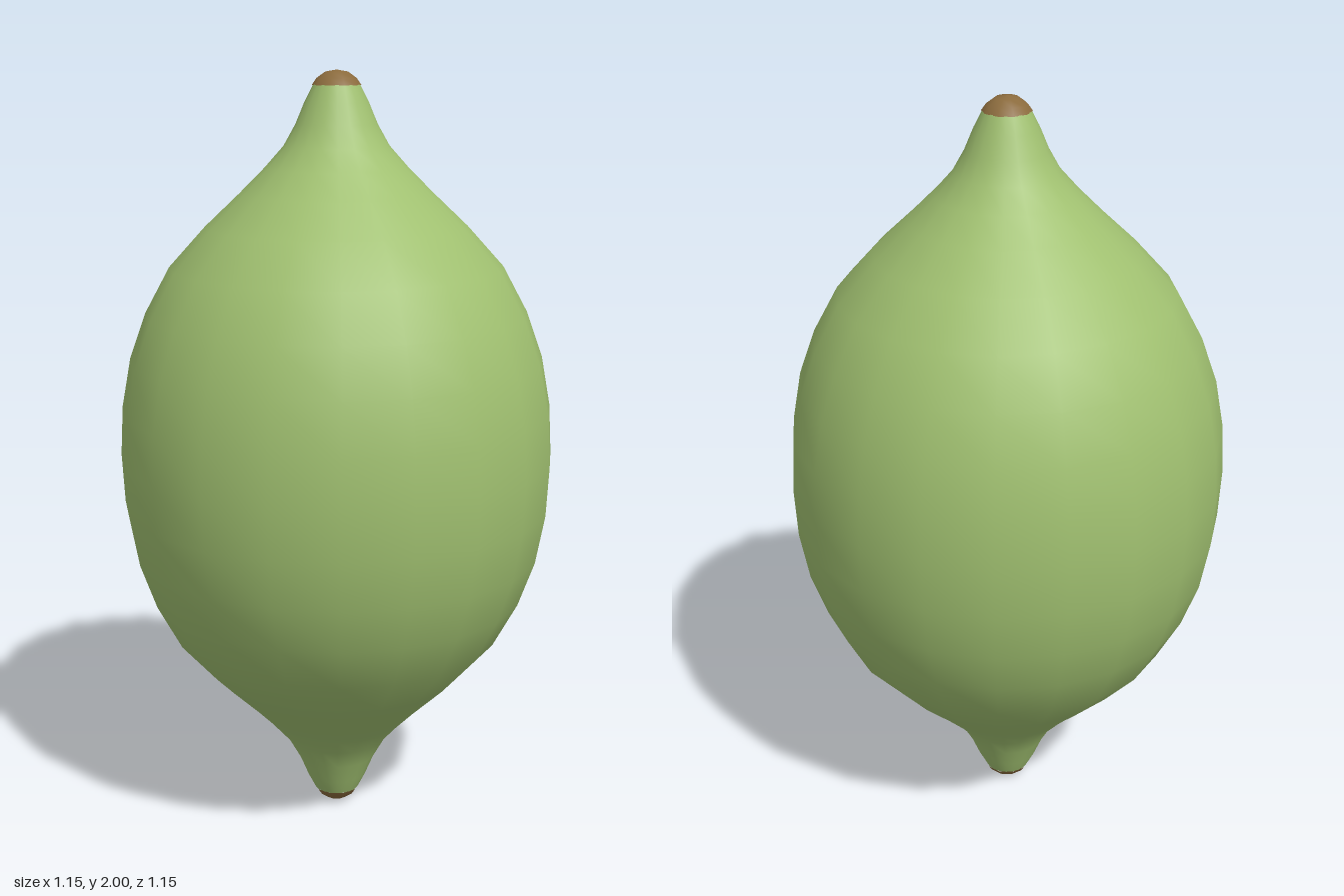
import * as THREE from 'three';

// Upper half of the fruit's outline: radius, height above the middle
const HALF = [
  [0.574, 0], [0.567, 0.13], [0.543, 0.26], [0.5, 0.38], [0.435, 0.5],
  [0.34, 0.605], [0.25, 0.69], [0.185, 0.755], [0.136, 0.81], [0.105, 0.865],
  [0.082, 0.92], [0.06, 0.963],
];
const TIP = [[0.063, 0.962], [0.051, 0.979], [0.029, 0.995], [0, 1]];

const toPoints = (list) => list.map(([r, y]) => new THREE.Vector2(r, y));

export function createModel() {
  const group = new THREE.Group();
  group.name = 'citrusFruit';
  const peel = new THREE.MeshStandardMaterial({ color: 0xa0c070 });
  const stemBrown = new THREE.MeshStandardMaterial({ color: 0x8b6b3d });

  // Fruit body with a nipple at both ends: the half outline mirrored about the middle
  const lower = HALF.slice(1).reverse().map(([r, y]) => [r, -y]);
  const body = new THREE.Mesh(new THREE.LatheGeometry(toPoints([...lower, ...HALF]), 20), peel);
  body.name = 'fruitBody';
  body.position.y = 1;
  group.add(body);

  // Ten-sided brown caps closing both ends
  const capGeometry = new THREE.LatheGeometry(toPoints(TIP), 10, Math.PI / 2);
  for (const [name, turn] of [['topCap', 0], ['bottomCap', Math.PI]]) {
    const cap = new THREE.Mesh(capGeometry, stemBrown);
    cap.name = name;
    cap.position.y = 1;
    cap.rotation.x = turn;
    group.add(cap);
  }
  return group;
}
